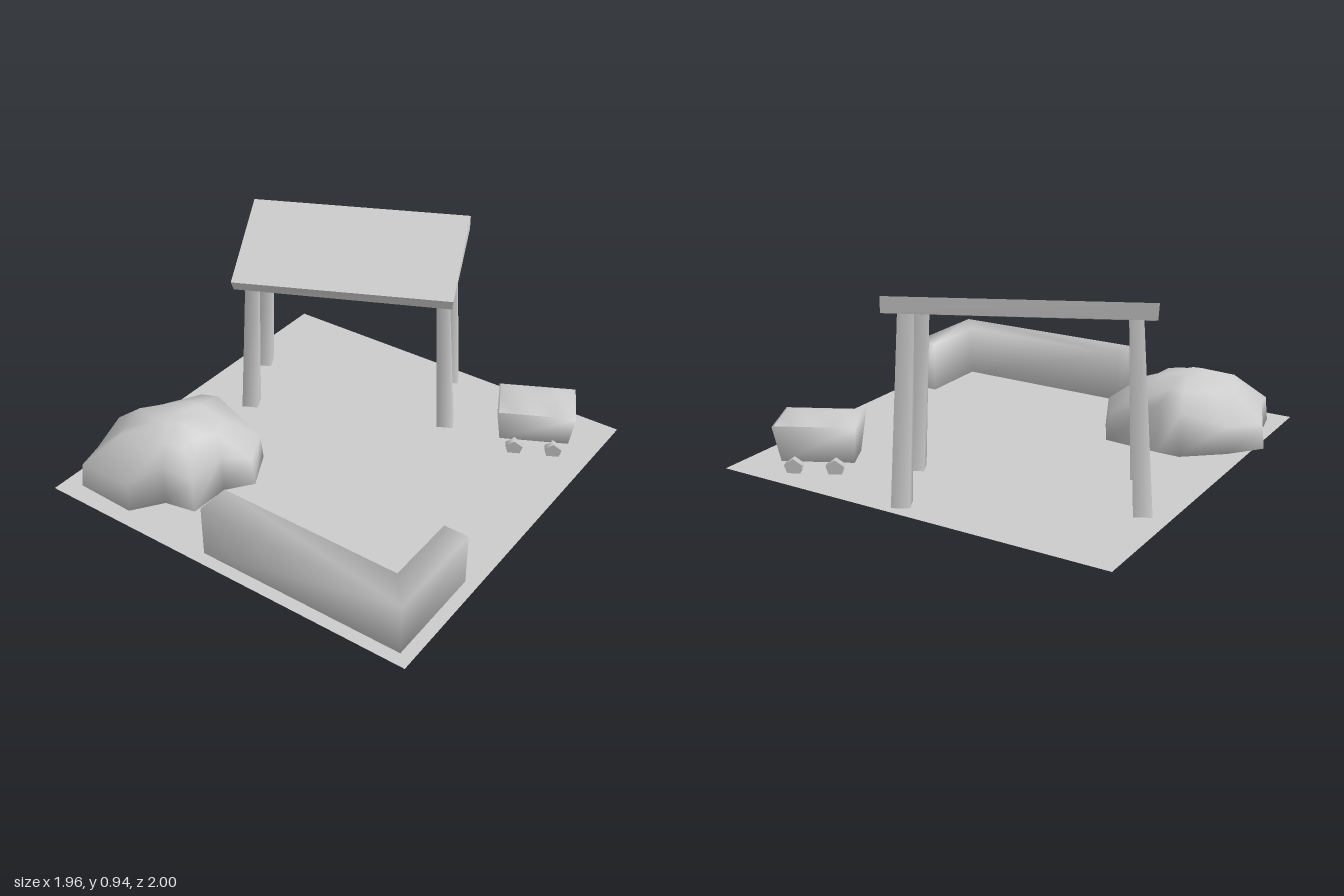
import * as THREE from 'three';

const GROUND = 0.012;

function material(options = {}) {
  return new THREE.MeshStandardMaterial({ color: 0xcccccc, ...options });
}

function addMesh(parent, name, geometry, options) {
  const mesh = new THREE.Mesh(geometry, material(options));
  mesh.name = name;
  parent.add(mesh);
  return mesh;
}

// Skins a stack of rings of [x, y, z] points, from bottom to top, and caps both ends.
function loft(rings) {
  const flat = (ring) => ring.map(([x, , z]) => new THREE.Vector2(x, -z));
  if (THREE.ShapeUtils.area(flat(rings[0])) < 0) rings = rings.map((ring) => [...ring].reverse());
  const n = rings[0].length;
  const last = (rings.length - 1) * n;
  const index = [];
  for (let r = 0; r < rings.length - 1; r++) {
    for (let i = 0; i < n; i++) {
      const a = r * n + i;
      const b = r * n + (i + 1) % n;
      index.push(a, b, b + n, a, b + n, a + n);
    }
  }
  for (const [a, b, c] of THREE.ShapeUtils.triangulateShape(flat(rings[0]), [])) index.push(a, c, b);
  for (const [a, b, c] of THREE.ShapeUtils.triangulateShape(flat(rings[rings.length - 1]), [])) {
    index.push(last + a, last + b, last + c);
  }
  const geometry = new THREE.BufferGeometry();
  geometry.setAttribute('position', new THREE.Float32BufferAttribute(rings.flat(2), 3));
  geometry.setIndex(index);
  geometry.computeVertexNormals();
  return geometry;
}

// Rectangle ring centred on the origin.
function rectangle(width, length, y) {
  const w = width / 2, l = length / 2;
  return [[-w, y, l], [w, y, l], [w, y, -l], [-w, y, -l]];
}

function createHill() {
  // Outline points as x, z and rim height
  const outline = [
    [-0.50, -1.00, 0.13], [-0.35, -0.88, 0.14], [-0.20, -0.70, 0.22], [-0.20, -0.59, 0.25],
    [-0.22, -0.31, 0.14], [-0.41, -0.21, 0.15], [-0.53, -0.30, 0.20], [-0.73, -0.31, 0.18],
    [-0.76, -0.46, 0.22], [-0.90, -0.56, 0.16], [-0.89, -0.87, 0.13], [-0.75, -0.90, 0.14],
  ];
  const cx = -0.55, cz = -0.58;
  const ring = (scale, height) => outline.map(([x, z, rim]) =>
    [cx + (x - cx) * scale, height(rim), cz + (z - cz) * scale]);
  return loft([
    ring(1, () => GROUND),
    ring(0.97, (rim) => rim),
    ring(0.56, (rim) => 0.25 + rim * 0.13),
    ring(0.2, () => 0.312),
  ]);
}

function createCanopy() {
  const canopy = new THREE.Group();
  canopy.name = 'canopy';

  // Sloping roof slab
  const roof = loft([
    [[0.03, 0.715, -0.66], [0.51, 0.868, -0.90], [0.98, 0.868, 0.09], [0.475, 0.715, 0.30]],
    [[0, 0.77, -0.65], [0.51, 0.938, -0.905], [0.98, 0.938, 0.09], [0.455, 0.77, 0.315]],
  ]);
  addMesh(canopy, 'roof', roof, { flatShading: true });

  // Four leaning, tapered posts: foot x, z and head x, y, z
  const posts = [
    [0.105, -0.645, 0.13, 0.75, -0.622],
    [0.53, 0.265, 0.525, 0.755, 0.217],
    [0.45, -0.83, 0.46, 0.855, -0.783],
    [0.89, 0.08, 0.858, 0.86, 0.055],
  ];
  for (const [fx, fz, hx, hy, hz] of posts) {
    const geometry = new THREE.CylinderGeometry(0.042, 0.057, hy - GROUND, 4);
    geometry.rotateY(0.47 + Math.PI / 4);
    const p = geometry.attributes.position;
    for (let i = 0; i < p.count; i++) {
      const y = p.getY(i) + (hy - GROUND) / 2;
      const t = y / (hy - GROUND);
      p.setXYZ(i, p.getX(i) + fx + (hx - fx) * t, y + GROUND, p.getZ(i) + fz + (hz - fz) * t);
    }
    geometry.computeVertexNormals();
    addMesh(canopy, 'post', geometry);
  }
  return canopy;
}

function createCart() {
  const cart = new THREE.Group();
  cart.name = 'cart';
  cart.position.set(0.688, 0, 0.683);
  cart.rotation.y = 0.47;

  // Tub that widens to the rim
  addMesh(cart, 'tub', loft([rectangle(0.15, 0.335, 0.038), rectangle(0.265, 0.375, 0.222)]));

  // Load with two low humps
  const load = new THREE.PlaneGeometry(0.25, 0.36, 2, 4).rotateX(-Math.PI / 2);
  const humps = [0, 0.042, 0.02, 0.042, 0];
  const p = load.attributes.position;
  for (let i = 0; i < p.count; i++) {
    const middle = i % 3 === 1;
    p.setY(i, 0.224 + (middle ? humps[Math.floor(i / 3)] : 0));
  }
  load.computeVertexNormals();
  addMesh(cart, 'load', load, { side: THREE.DoubleSide });

  // Five-sided wheels
  for (const x of [-0.135, 0.135]) {
    for (const z of [-0.094, 0.094]) {
      const wheel = new THREE.CylinderGeometry(0.044, 0.044, 0.036, 5, 1, false, Math.PI / 2);
      wheel.rotateZ(Math.PI / 2);
      addMesh(cart, 'wheel', wheel).position.set(x, 0.036, z);
    }
    // Stub axles joining the wheels to the tub
    for (const z of [-0.094, 0.094]) {
      const axle = new THREE.BoxGeometry(0.08, 0.015, 0.015);
      addMesh(cart, 'axle', axle).position.set(x * 0.75, 0.045, z);
    }
  }
  return cart;
}

export function createModel() {
  const model = new THREE.Group();
  model.name = 'yard';

  // Ground sheet
  const ground = new THREE.PlaneGeometry(1.96, 1.96).rotateX(-Math.PI / 2);
  addMesh(model, 'ground', ground, { side: THREE.DoubleSide }).position.set(0, GROUND, 0.02);

  // L-shaped wall
  const plan = [[-0.92, -0.09], [-0.76, -0.09], [-0.77, 0.82], [-0.41, 0.82], [-0.41, 0.94], [-0.92, 0.94]];
  const wall = loft([GROUND, 0.265].map((y) => plan.map(([x, z]) => [x, y, z])));
  addMesh(model, 'cornerWall', wall);

  addMesh(model, 'hill', createHill());
  model.add(createCanopy(), createCart());
  return model;
}
